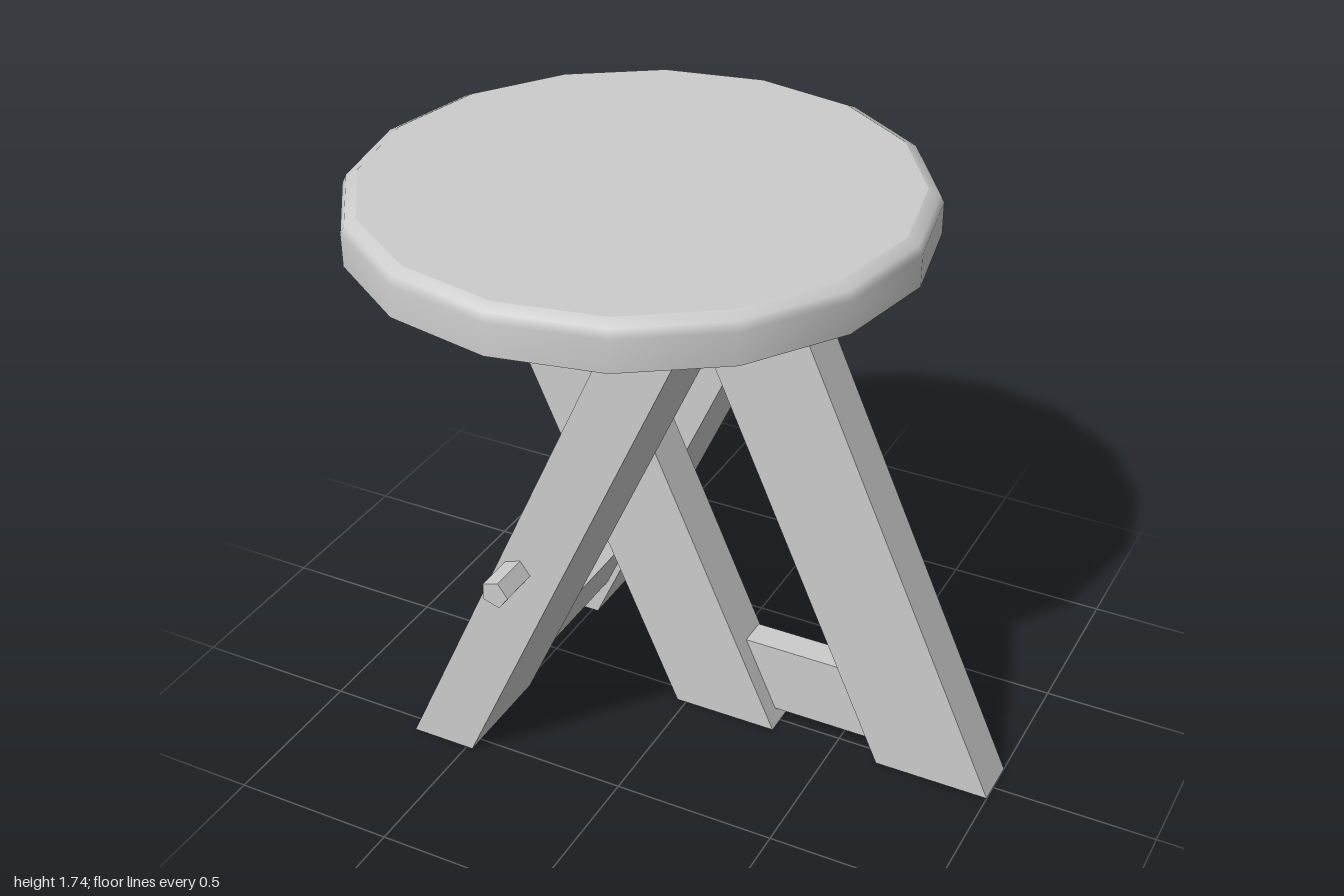
import * as THREE from 'three';

const SEAT_X = -0.165, SEAT_BOTTOM = 1.605, SEAT_TOP = 1.74;

export function createModel() {
  const group = new THREE.Group();
  const material = new THREE.MeshStandardMaterial({ color: 0xcccccc });

  const add = (name, geometry, parent = group) => {
    const mesh = new THREE.Mesh(geometry, material);
    mesh.name = name;
    parent.add(mesh);
    return mesh;
  };

  // Outline in x, y given counter-clockwise, extruded from zMin to zMax
  const slab = (name, corners, zMin, zMax) => {
    const shape = new THREE.Shape(corners.map(([x, y]) => new THREE.Vector2(x, y)));
    const geometry = new THREE.ExtrudeGeometry(shape, { depth: zMax - zMin, bevelEnabled: false });
    return add(name, geometry.translate(0, 0, zMin));
  };

  // Slanted leg: left and right x at the floor, then at the seat
  const leg = (name, [b0, b1], [t0, t1], zMin, zMax) =>
    slab(name, [[b0, 0], [b1, 0], [t1, SEAT_BOTTOM], [t0, SEAT_BOTTOM]], zMin, zMax);

  // Seat: sixteen-sided disc with a rounded upper rim and flat caps
  const seat = new THREE.Group();
  seat.name = 'seat';
  seat.position.x = SEAT_X;
  group.add(seat);
  const rim = [[0.835, SEAT_BOTTOM], [0.835, 1.70], [0.823, 1.725], [0.79, SEAT_TOP]];
  add('seatRim', new THREE.LatheGeometry(rim.map(([r, y]) => new THREE.Vector2(r, y)), 16), seat);
  add('seatTop', new THREE.CircleGeometry(0.79, 16).rotateX(-Math.PI / 2).translate(0, SEAT_TOP, 0), seat);
  add('seatUnderside', new THREE.CircleGeometry(0.835, 16).rotateX(Math.PI / 2).translate(0, SEAT_BOTTOM, 0), seat);

  // Pair of outer legs leaning one way
  leg('frontOuterLeg', [-0.685, -0.48], [0.05, 0.255], 0.205, 0.55);
  leg('backOuterLeg', [-0.685, -0.48], [0.05, 0.255], -0.585, -0.24);

  // Two central legs leaning the other way
  leg('crossingLeg', [-0.03, 0.30], [-0.745, -0.415], -0.095, 0.055);
  leg('sideLeg', [0.645, 1.0], [-0.07, 0.28], -0.095, 0.055);

  // Stretcher between the central legs
  slab('centralStretcher', [[0.27, 0.04], [0.63, 0.04], [0.53, 0.27], [0.17, 0.27]], -0.09, 0.0);

  // Stretcher between the outer legs, tilted along them
  const stretcher = add('outerStretcher', new THREE.BoxGeometry(0.145, 0.25, 0.47));
  stretcher.position.set(-0.455, 0.274, -0.02);
  stretcher.rotation.z = -Math.atan2(0.735, SEAT_BOTTOM);

  // Five-sided pivot rod through the crossing legs
  const rod = new THREE.CylinderGeometry(0.044, 0.044, 1.335, 5, 1, false, Math.PI / 2).toNonIndexed();
  rod.computeVertexNormals();
  add('pivotRod', rod.rotateX(Math.PI / 2)).position.set(-0.285, 0.725, 0.005);

  return group;
}
